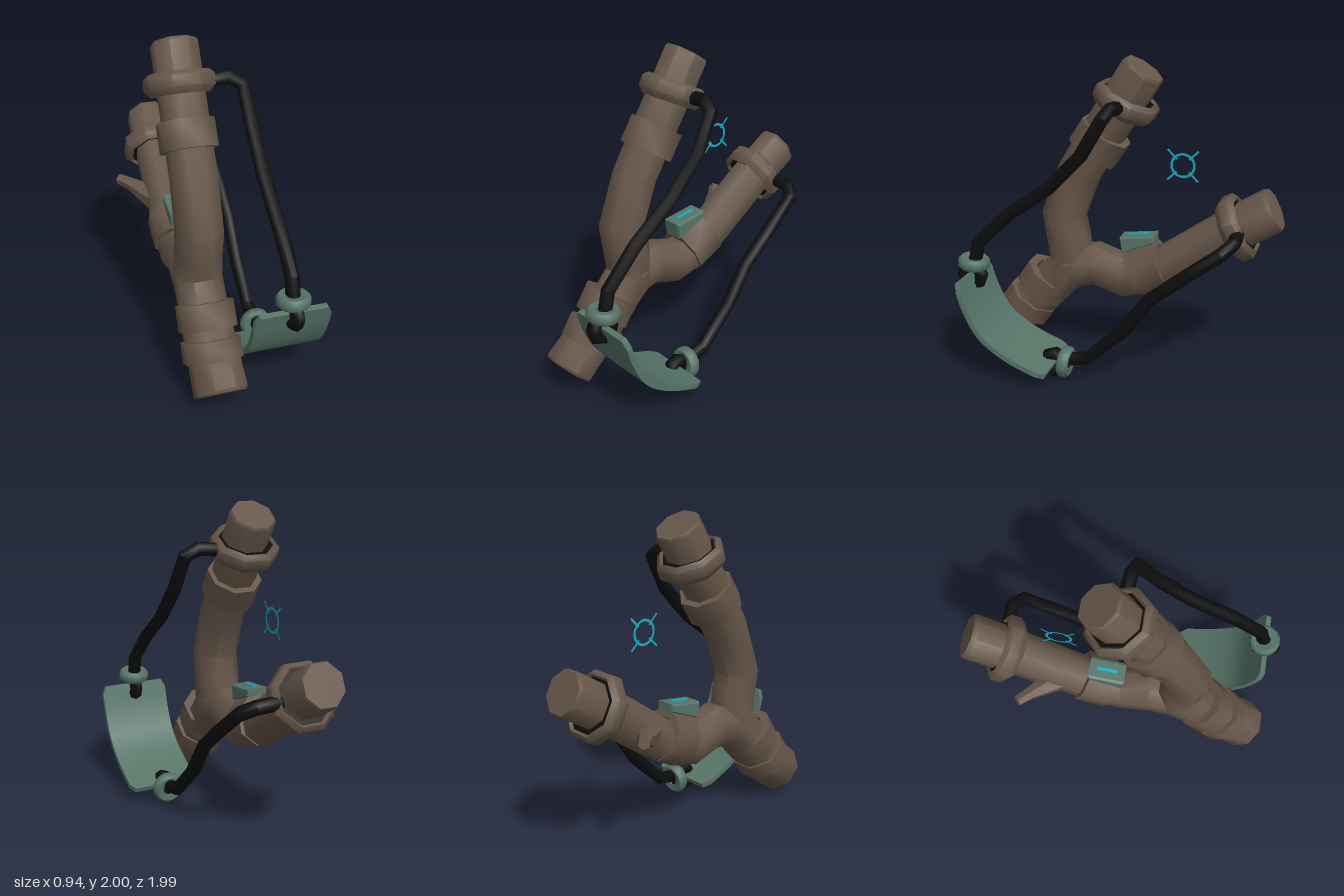
import * as THREE from 'three';
import { toCreasedNormals } from 'three/addons/utils/BufferGeometryUtils.js';

const V = (x, y, z) => new THREE.Vector3(x, y, z);
const CX = -0.185; // plane of the wooden fork
const SX = 0.23;   // plane of the pouch

// Sweep a polygon along [x, y, z, radius] points, closed at both ends
function sweep(points, sides) {
  const centres = points.map(p => V(p[0], p[1], p[2]));
  const last = centres.length - 1;
  let normal = null;
  const rings = centres.map((c, i) => {
    const t = V(0, 0, 0);
    if (i > 0) t.add(c.clone().sub(centres[i - 1]).normalize());
    if (i < last) t.add(centres[i + 1].clone().sub(c).normalize());
    t.normalize();
    if (!normal) normal = Math.abs(t.x) > 0.8 ? V(0, 1, 0) : V(1, 0, 0);
    normal = normal.clone().addScaledVector(t, -normal.dot(t)).normalize();
    const b = t.clone().cross(normal);
    return Array.from({ length: sides }, (_, j) => {
      const a = (j + 0.5) / sides * Math.PI * 2;
      return c.clone().addScaledVector(normal, Math.cos(a) * points[i][3])
        .addScaledVector(b, Math.sin(a) * points[i][3]);
    });
  });
  const tris = [];
  for (let j = 0; j < sides; j++) {
    const k = (j + 1) % sides;
    for (let i = 0; i < last; i++) {
      const [p, q] = [rings[i], rings[i + 1]];
      tris.push(p[j], p[k], q[j], p[k], q[k], q[j]);
    }
    tris.push(centres[0], rings[0][k], rings[0][j]);
    tris.push(centres[last], rings[last][j], rings[last][k]);
  }
  return toCreasedNormals(new THREE.BufferGeometry().setFromPoints(tris), 0.85);
}

// Ring turned from a closed [radius, height] profile
function ringGeometry(profile, sides) {
  const pts = [...profile, profile[0]].map(p => new THREE.Vector2(p[0], p[1]));
  const g = new THREE.LatheGeometry(pts, sides, Math.PI / sides);
  return toCreasedNormals(g, 0.85);
}
const bandProfile = (inner, outer, h) => [[inner, -h], [outer, -h], [outer, h], [inner, h]];

export function createModel() {
  const model = new THREE.Group();
  const material = (name, color, side = THREE.FrontSide) => {
    const m = new THREE.MeshStandardMaterial({ color, side });
    m.name = name;
    return m;
  };
  const wood = material('brown wood', 0x665649);
  const rubber = material('black rubber', 0x0d0d0d);
  const teal = material('dull teal', 0x567467);
  const cyan = material('bright cyan', 0x18aac4, THREE.DoubleSide);

  const add = (name, geometry, mat, parent = model) => {
    const mesh = new THREE.Mesh(geometry, mat);
    mesh.name = name;
    parent.add(mesh);
    return mesh;
  };
  const addRing = (name, profile, sides, mat, pos, axis) => {
    const mesh = add(name, ringGeometry(profile, sides), mat);
    mesh.position.set(...pos);
    mesh.quaternion.setFromUnitVectors(V(0, 1, 0), V(...axis).normalize());
    return mesh;
  };

  // Forked branch: handle running into the upper arm, then the lower arm
  const inPlane = list => list.map(([y, z, r]) => [CX, y, z, r]);
  add('handleAndUpperArm', sweep(inPlane([
    [0.145, 0.875, 0.15], [0.155, 0.865, 0.163], [0.3, 0.7, 0.158], [0.49, 0.5, 0.152],
    [0.65, 0.375, 0.15], [0.8, 0.39, 0.145], [0.98, 0.42, 0.145], [1.27, 0.31, 0.142],
    [1.58, 0.12, 0.142], [1.93, -0.1, 0.142], [1.945, -0.11, 0.132],
  ]), 8), wood);
  add('lowerArm', sweep(inPlane([
    [0.49, 0.5, 0.145], [0.62, 0.36, 0.15], [0.65, 0.2, 0.145], [0.59, 0.01, 0.143],
    [0.63, -0.15, 0.14], [0.7, -0.28, 0.137], [0.96, -0.65, 0.14],
    [1.13, -0.92, 0.142], [1.14, -0.94, 0.132],
  ]), 8), wood);
  add('twigStub', sweep([
    [-0.24, 0.77, -0.4, 0.1], [-0.32, 0.79, -0.47, 0.065],
    [-0.39, 0.82, -0.54, 0.043], [-0.46, 0.835, -0.61, 0.035],
  ], 6), wood);

  // Bark wraps: [name, y, z, radius, half length, axis y, axis z]
  [
    ['upperHandleWrap', 0.48, 0.56, 0.178, 0.078, 0.84, -0.55],
    ['lowerHandleWrap', 0.32, 0.68, 0.182, 0.062, 0.84, -0.55],
    ['upperArmWrap', 1.475, 0.175, 0.174, 0.085, 0.84, -0.54],
    ['lowerArmWrap', 0.67, -0.16, 0.164, 0.1, 0.42, -0.9],
  ].forEach(([name, y, z, r, h, ay, az]) =>
    addRing(name, bandProfile(0.12, r, h), 8, wood, [CX, y, z], [0, ay, az]));

  // Collars near the arm tips, with the strap wound beneath them
  const collar = [[0.168, -0.055], [0.178, -0.068], [0.212, -0.03], [0.212, 0.035],
    [0.182, 0.062], [0.168, 0.05]];
  [
    ['upper', 1.735, 0.005, 0.9, -0.43],
    ['lower', 1.0, -0.715, 0.45, -0.89],
  ].forEach(([name, y, z, ay, az]) => {
    addRing(name + 'Collar', collar, 8, wood, [CX, y, z], [0, ay, az]);
    addRing(name + 'StrapWinding', bandProfile(0.12, 0.17, 0.045), 8, rubber, [CX, y, z], [0, ay, az]);
  });

  // Elastic straps from collars to pouch
  const strap = list => sweep(list.map(p => [...p, 0.043]), 8);
  add('upperStrap', strap([
    [-0.04, 1.73, 0.0], [0.11, 1.745, 0.015], [0.19, 1.7, 0.04], [0.21, 1.48, 0.165],
    [0.215, 1.257, 0.38], [0.222, 1.07, 0.64], [0.23, 0.866, 0.845], [SX, 0.7, 0.88],
  ]), rubber);
  add('lowerStrap', strap([
    [-0.04, 1.0, -0.74], [0.11, 0.995, -0.74], [0.185, 0.95, -0.68], [0.2, 0.77, -0.45],
    [0.205, 0.615, -0.26], [0.212, 0.385, -0.1], [0.222, 0.17, 0.13], [SX, 0.14, 0.28],
  ]), rubber);

  // Strap loops through the pouch ends and the clamps that hold them
  [
    ['upper', 0.65, 0.895, 0.735, 0.882, 1, -0.12],
    ['lower', 0.113, 0.345, 0.125, 0.275, 0.12, 1],
  ].forEach(([name, y, z, cy, cz, ay, az]) => {
    const loop = add(name + 'StrapLoop', new THREE.TorusGeometry(0.062, 0.043, 7, 8), rubber);
    loop.position.set(SX, y, z);
    loop.rotation.y = Math.PI / 2;
    addRing(name + 'StrapClamp', [[0.04, -0.03], [0.085, -0.036], [0.1, -0.02], [0.1, 0.02],
      [0.085, 0.036], [0.04, 0.03]], 14, teal, [SX, cy, cz], [0, ay, az]);
  });

  // Curved pouch: a thin plate bent along a curve, corners drawn in
  const bend = new THREE.CatmullRomCurve3([
    V(SX, 0.67, 0.9), V(SX, 0.49, 0.845), V(SX, 0.33, 0.755), V(SX, 0.21, 0.59), V(SX, 0.11, 0.34),
  ]);
  const pouch = new THREE.BoxGeometry(0.46, 0.034, 1, 2, 1, 16);
  const pos = pouch.attributes.position;
  for (let i = 0; i < pos.count; i++) {
    const t = THREE.MathUtils.clamp(pos.getZ(i) + 0.5, 0, 1);
    const p = bend.getPointAt(t), d = bend.getTangentAt(t);
    const edge = Math.min(t, 1 - t);
    const width = edge < 0.01 ? 0.88 : 1;
    pos.setXYZ(i, SX + pos.getX(i) * width, p.y + d.z * pos.getY(i), p.z - d.y * pos.getY(i));
  }
  add('pouch', toCreasedNormals(pouch, 0.7), teal);

  // Wedge-shaped sight housing, its profile drawn in the side plane
  const wedge = new THREE.Shape([[-0.02, 0.862], [-0.008, 0.775], [0.19, 0.858], [0.19, 0.892]]
    .map(p => new THREE.Vector2(p[0], p[1])));
  const housing = new THREE.ExtrudeGeometry(wedge, {
    depth: 0.11, bevelEnabled: true, bevelSize: 0.008, bevelThickness: 0.015, bevelSegments: 1,
  });
  housing.rotateY(Math.PI / 2).translate(CX - 0.055, 0, 0);
  add('sightHousing', housing, teal);
  const strip = add('sightLightStrip', new THREE.BoxGeometry(0.022, 0.008, 0.13), cyan);
  strip.position.set(CX, 0.888, -0.085);
  strip.rotation.x = 0.142;

  // Floating aiming reticle: flat ring with four diagonal ticks
  const reticle = new THREE.Group();
  reticle.name = 'reticle';
  reticle.position.set(CX, 1.362, -0.36);
  reticle.rotation.y = Math.PI / 2;
  add('reticleRing', new THREE.RingGeometry(0.064, 0.08, 24), cyan, reticle);
  for (let i = 0; i < 4; i++) {
    const a = Math.PI / 4 + i * Math.PI / 2;
    const tick = add('reticleTick', new THREE.PlaneGeometry(0.083, 0.013), cyan, reticle);
    tick.position.set(Math.cos(a) * 0.096, Math.sin(a) * 0.096, 0);
    tick.rotation.z = a;
  }
  model.add(reticle);
  return model;
}
